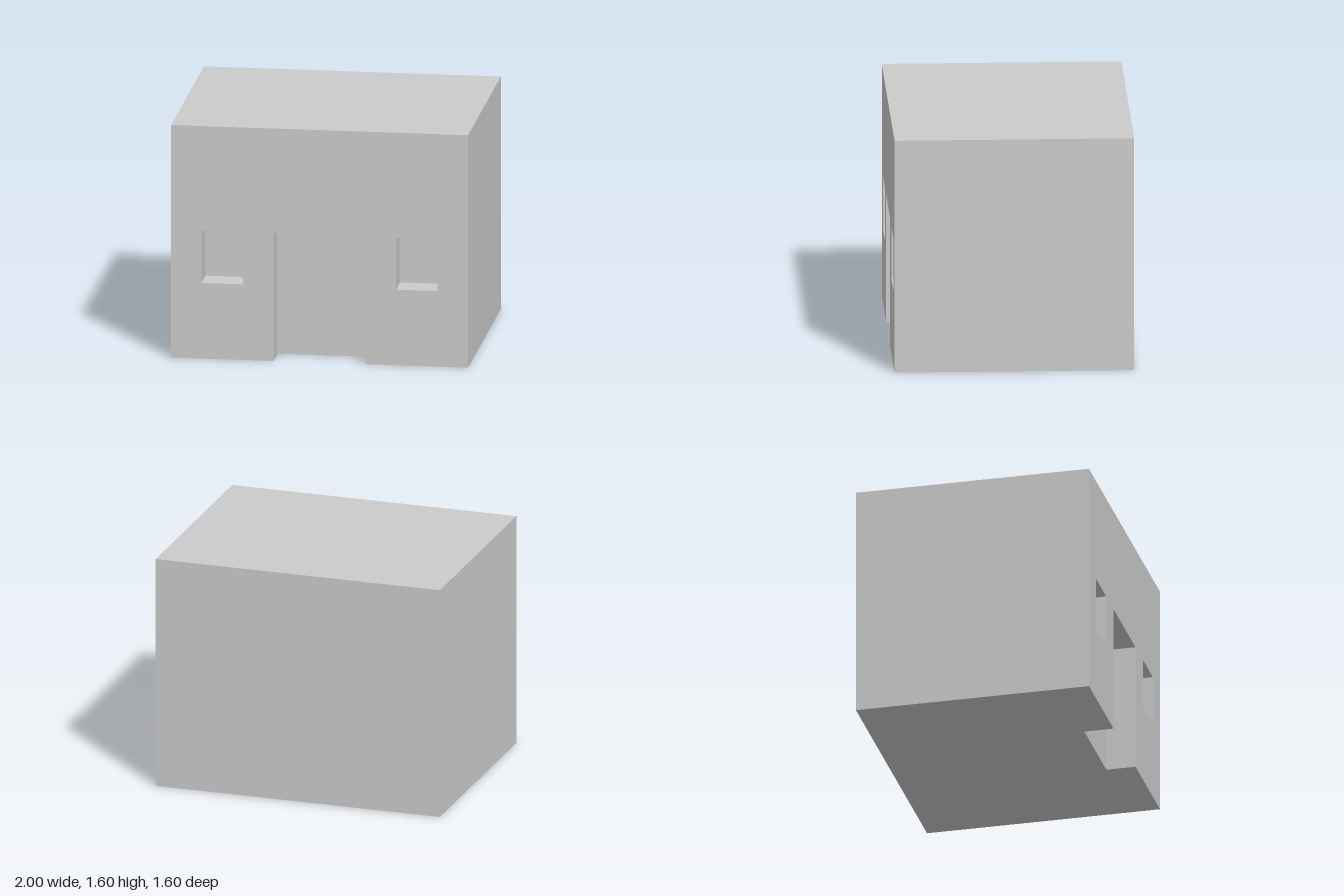
import * as THREE from 'three';

const W = 2, H = 1.6, D = 1.6, DEPTH = 0.2;
const DOOR = { x: 0, w: 0.62, y0: 0, y1: 0.88 };
const WINDOWS = [-1, 1].map(s => ({ x: s * 0.655, w: 0.28, y0: 0.52, y1: 0.88 }));

const material = new THREE.MeshStandardMaterial({ color: 0xcccccc });

// Box with some sides left open (0..5 = +x, -x, +y, -y, +z, -z); inward turns it inside out
function openBox(w, h, d, open, inward = false) {
  const box = new THREE.BoxGeometry(w, h, d);
  const source = box.getIndex().array;
  const index = [];
  for (let side = 0; side < 6; side++) {
    if (open.includes(side)) continue;
    for (let i = side * 6; i < side * 6 + 6; i += 3) {
      const [a, b, c] = source.slice(i, i + 3);
      index.push(...(inward ? [a, c, b] : [a, b, c]));
    }
  }
  box.clearGroups();
  box.setIndex(index);
  const geometry = box.toNonIndexed();
  geometry.computeVertexNormals();
  return geometry;
}

const outline = pairs => pairs.map(([x, y]) => new THREE.Vector2(x, y));

export function createModel() {
  const model = new THREE.Group();
  model.name = 'building';
  const add = (name, geometry) => {
    const mesh = new THREE.Mesh(geometry, material);
    mesh.name = name;
    model.add(mesh);
    return mesh;
  };

  // Roof, side walls and back wall
  add('outerWalls', openBox(W, H, D, [3, 4])).position.y = H / 2;

  // Front wall with doorway notch and window openings
  const dx = DOOR.w / 2;
  const front = new THREE.Shape(outline([
    [-W / 2, 0], [-dx, 0], [-dx, DOOR.y1], [dx, DOOR.y1], [dx, 0],
    [W / 2, 0], [W / 2, H], [-W / 2, H],
  ]));
  for (const { x, w, y0, y1 } of WINDOWS) {
    front.holes.push(new THREE.Path(outline([
      [x - w / 2, y0], [x - w / 2, y1], [x + w / 2, y1], [x + w / 2, y0],
    ])));
  }
  add('frontWall', new THREE.ShapeGeometry(front)).position.z = D / 2;

  // Underside, cut away below the doorway
  const zf = D / 2, zr = D / 2 - DEPTH;
  const base = new THREE.Shape(outline([
    [-W / 2, -zf], [W / 2, -zf], [W / 2, zf], [dx, zf],
    [dx, zr], [-dx, zr], [-dx, zf], [-W / 2, zf],
  ]));
  add('underside', new THREE.ShapeGeometry(base)).rotation.x = Math.PI / 2;

  // Recess linings: the doorway is also open at the bottom
  const recess = (name, { x, w, y0, y1 }, open) =>
    add(name, openBox(w, y1 - y0, DEPTH, open, true))
      .position.set(x, (y0 + y1) / 2, (zf + zr) / 2);
  recess('doorRecess', DOOR, [3, 4]);
  WINDOWS.forEach((opening, i) => recess(i ? 'leftWindowRecess' : 'rightWindowRecess', opening, [4]));

  return model;
}
